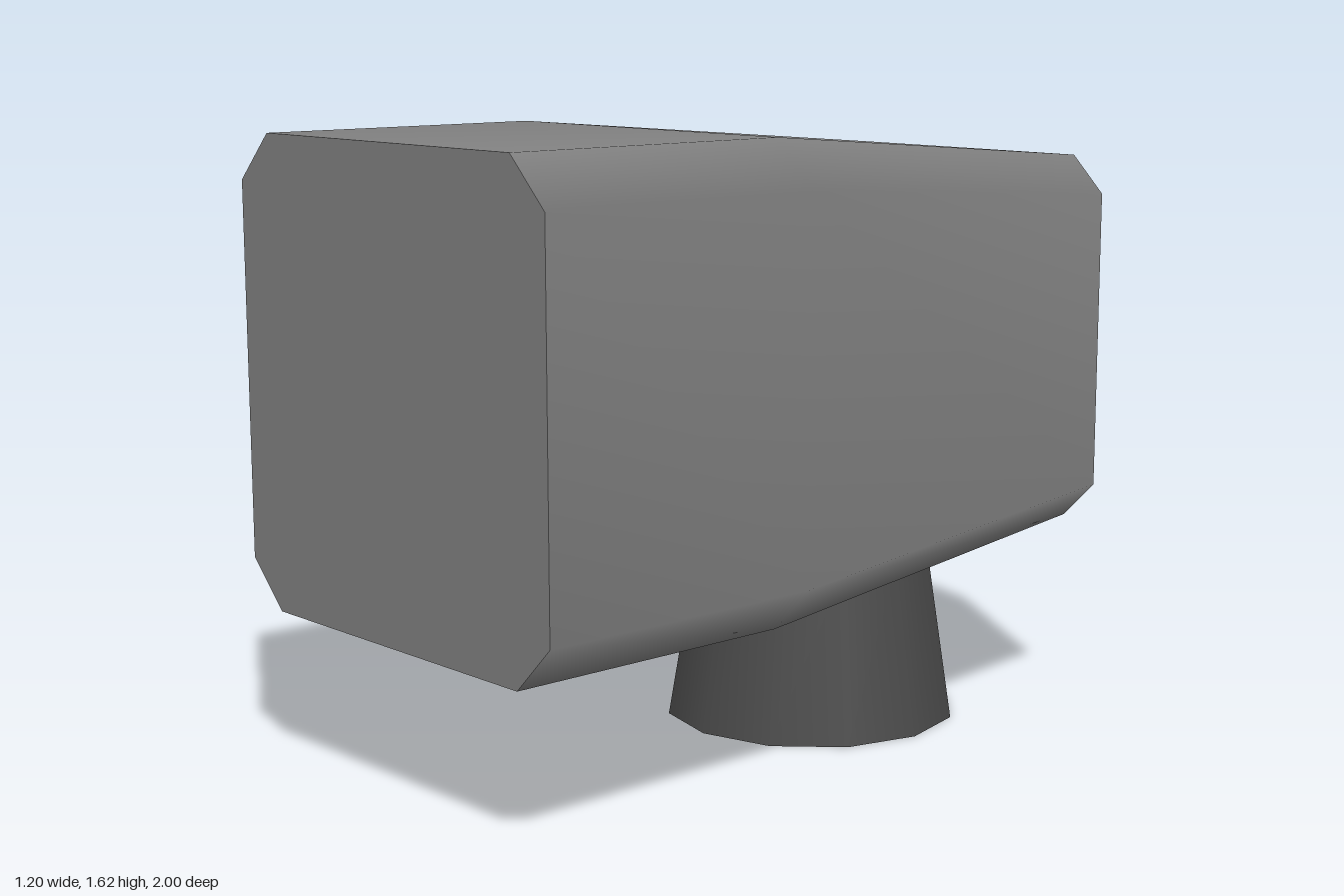
import * as THREE from 'three';

const steel = new THREE.MeshStandardMaterial({ color: 0x808080 });
steel.name = 'grey steel';
const dark = new THREE.MeshStandardMaterial({ color: 0x4a4a4a, side: THREE.DoubleSide });
dark.name = 'dark steel';

const mesh = (name, geometry, material) => {
  const m = new THREE.Mesh(geometry, material);
  m.name = name;
  return m;
};

// Move vertices by a rule without disturbing the normals
const warp = (geometry, rule) => {
  const p = geometry.attributes.position;
  const v = new THREE.Vector3();
  for (let i = 0; i < p.count; i++) {
    rule(v.fromBufferAttribute(p, i));
    p.setXYZ(i, v.x, v.y, v.z);
  }
  return geometry;
};

// Chamfered square cross-section, half-width h, chamfer c, anticlockwise from the front
const octagon = (h, c) => {
  const k = h - c;
  return [[h, -k], [h, k], [k, h], [-k, h], [-h, k], [-h, -k], [-k, -h], [k, -h]];
};

const headY = 1.02;
const sections = [[1, 0.6, 0.12], [0.2, 0.6, 0.12], [-1, 0.5, 0.1]];

// Smooth sides lofted through the sections
function headSides() {
  const pos = [], idx = [];
  for (const [z, h, c] of sections) for (const [x, y] of octagon(h, c)) pos.push(x, headY + y, z);
  for (let s = 0; s < sections.length - 1; s++) {
    for (let i = 0; i < 8; i++) {
      const a = s * 8 + i, b = s * 8 + (i + 1) % 8;
      idx.push(a, a + 8, b, b, a + 8, b + 8);
    }
  }
  const g = new THREE.BufferGeometry();
  g.setAttribute('position', new THREE.Float32BufferAttribute(pos, 3));
  g.setIndex(idx);
  g.computeVertexNormals();
  return g;
}

// Flat end of the head
function headCap([z, h, c], back) {
  const g = new THREE.ShapeGeometry(new THREE.Shape(octagon(h, c).map(p => new THREE.Vector2(...p))));
  if (back) g.rotateY(Math.PI);
  return g.translate(0, headY, z);
}

export function createModel() {
  const model = new THREE.Group();

  const head = new THREE.Group();
  head.name = 'head';
  head.add(
    mesh('headSides', headSides(), steel),
    mesh('strikingFace', headCap(sections[0], false), steel),
    mesh('backFace', headCap(sections[2], true), steel),
  );

  // Dark patches under the head where the socket meets it
  const underside = z => 0.42 + (0.2 - z) / 12;
  for (const z of [-0.2, -0.57]) {
    const g = new THREE.CircleGeometry(0.38, 20).rotateX(Math.PI / 2).translate(0, 0, z);
    head.add(mesh('socketSeat', warp(g, v => { v.y = underside(v.z) - 0.004; }), dark));
  }

  // Hollow tapered socket with a slanted top
  const socket = new THREE.Group();
  socket.name = 'handleSocket';
  socket.position.z = -0.4;
  const slant = v => { if (v.y > 0.2) v.y = 0.463 - 0.1 * v.z; };
  const tube = (top, bottom) =>
    warp(new THREE.CylinderGeometry(top, bottom, 0.46, 12, 1, true).translate(0, 0.23, 0), slant);
  socket.add(
    mesh('socketOutside', tube(0.326, 0.4), dark),
    mesh('socketInside', tube(0.245, 0.3), dark),
    mesh('socketRim', new THREE.RingGeometry(0.3, 0.4, 12).rotateX(Math.PI / 2), dark),
    mesh('socketTop', warp(new THREE.RingGeometry(0.245, 0.326, 12).rotateX(-Math.PI / 2).translate(0, 0.46, 0), slant), dark),
  );

  model.add(head, socket);
  return model;
}
